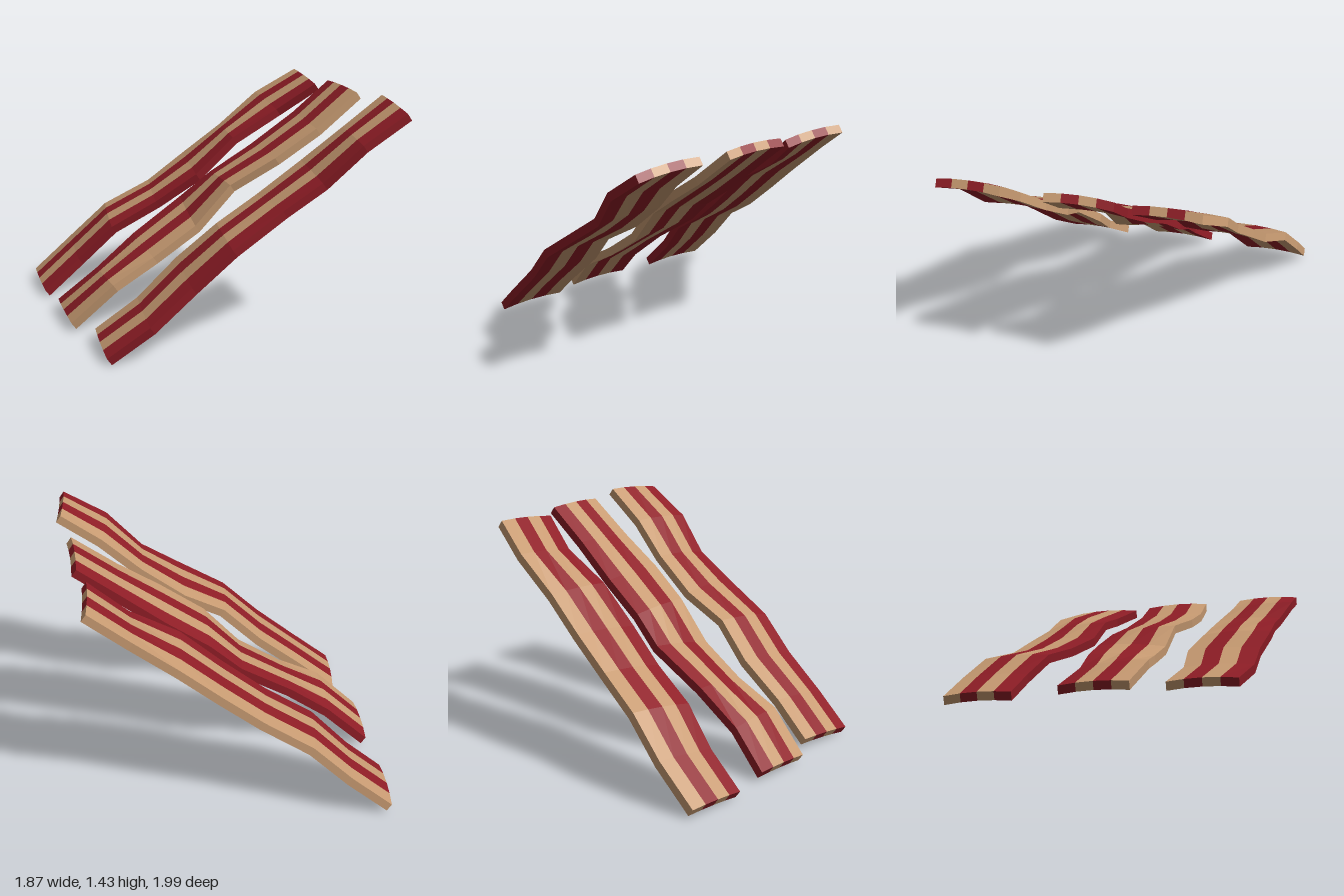
import * as THREE from 'three';

const RED = 0x8f1d26, TAN = 0xc89b72;
const STRIPES = 4;
// Offset from top surface to bottom surface, square to the slope the strips lie along
const DROP = new THREE.Vector3(0.03, -0.042, 0);

// Top edges of each wavy strip as [x, y, z] stations running up the slope
const STRIPS = [
  {
    name: 'backStrip', colors: [TAN, RED],
    back: [[-0.85, 0.07, -1], [-0.6, 0.29, -0.965], [-0.37, 0.51, -0.9], [-0.09, 0.67, -0.8],
      [0.145, 0.85, -0.75], [0.39, 1.04, -0.685], [0.65, 1.25, -0.66], [0.895, 1.41, -0.555]],
    front: [[-0.905, 0.05, -0.595], [-0.68, 0.25, -0.56], [-0.47, 0.465, -0.485], [-0.19, 0.63, -0.4],
      [0.06, 0.81, -0.31], [0.31, 1.04, -0.28], [0.61, 1.21, -0.25], [0.84, 1.38, -0.15]],
  },
  {
    name: 'middleStrip', colors: [RED, TAN],
    back: [[-0.895, 0.075, -0.335], [-0.66, 0.28, -0.255], [-0.405, 0.48, -0.255], [-0.08, 0.69, -0.255],
      [0.11, 0.85, -0.2], [0.37, 1.02, -0.14], [0.64, 1.22, -0.08], [0.885, 1.415, -0.06]],
    front: [[-0.94, 0.06, 0.075], [-0.69, 0.295, 0.15], [-0.425, 0.44, 0.15], [-0.155, 0.62, 0.18],
      [0.065, 0.865, 0.215], [0.33, 1.03, 0.3], [0.595, 1.2, 0.335], [0.865, 1.41, 0.35]],
  },
  {
    name: 'frontStrip', colors: [TAN, RED],
    back: [[-0.85, 0.08, 0.265], [-0.605, 0.27, 0.34], [-0.35, 0.49, 0.34], [-0.12, 0.7, 0.42],
      [0.145, 0.85, 0.42], [0.415, 1.05, 0.475], [0.65, 1.25, 0.555], [0.9, 1.435, 0.59]],
    front: [[-0.92, 0.05, 0.675], [-0.68, 0.23, 0.75], [-0.43, 0.445, 0.775], [-0.2, 0.66, 0.835],
      [0.11, 0.86, 0.85], [0.35, 1.01, 0.88], [0.565, 1.23, 0.96], [0.835, 1.4, 0.99]],
  },
];

// One lengthwise stripe of a strip, full thickness
function stripeGeometry({ back, front }, k) {
  const positions = [];
  const quad = (a, b, c, d) => {
    for (const p of [a, b, c, a, c, d]) positions.push(p.x, p.y, p.z);
  };
  // Top point at a station, with a slight arch across the width
  const top = (s, u) => new THREE.Vector3(...back[s])
    .lerp(new THREE.Vector3(...front[s]), u)
    .addScaledVector(DROP, -0.25 * 4 * u * (1 - u));
  const bottom = (s, u) => top(s, u).add(DROP);
  const u0 = k / STRIPES, u1 = (k + 1) / STRIPES, last = back.length - 1;

  for (let s = 0; s < last; s++) {
    const n = s + 1;
    quad(top(s, u0), top(s, u1), top(n, u1), top(n, u0));
    quad(bottom(s, u0), bottom(n, u0), bottom(n, u1), bottom(s, u1));
    if (k === 0) quad(top(s, 0), top(n, 0), bottom(n, 0), bottom(s, 0));
    if (k === STRIPES - 1) quad(top(s, 1), bottom(s, 1), bottom(n, 1), top(n, 1));
  }
  // End caps
  quad(top(0, u0), bottom(0, u0), bottom(0, u1), top(0, u1));
  quad(top(last, u0), top(last, u1), bottom(last, u1), bottom(last, u0));

  const geometry = new THREE.BufferGeometry();
  geometry.setAttribute('position', new THREE.Float32BufferAttribute(positions, 3));
  geometry.computeVertexNormals();
  return geometry;
}

export function createModel() {
  const model = new THREE.Group();
  model.name = 'baconStrips';
  const materials = new Map([RED, TAN].map((color) =>
    [color, new THREE.MeshStandardMaterial({ color, flatShading: true })]));

  for (const strip of STRIPS) {
    const group = new THREE.Group();
    group.name = strip.name;
    for (let k = 0; k < STRIPES; k++) {
      const color = strip.colors[k % 2];
      const mesh = new THREE.Mesh(stripeGeometry(strip, k), materials.get(color));
      mesh.name = color === RED ? 'meatStripe' : 'fatStripe';
      group.add(mesh);
    }
    model.add(group);
  }
  // Rest the lowest corner on the ground
  model.position.y = -new THREE.Box3().setFromObject(model).min.y;
  return model;
}
